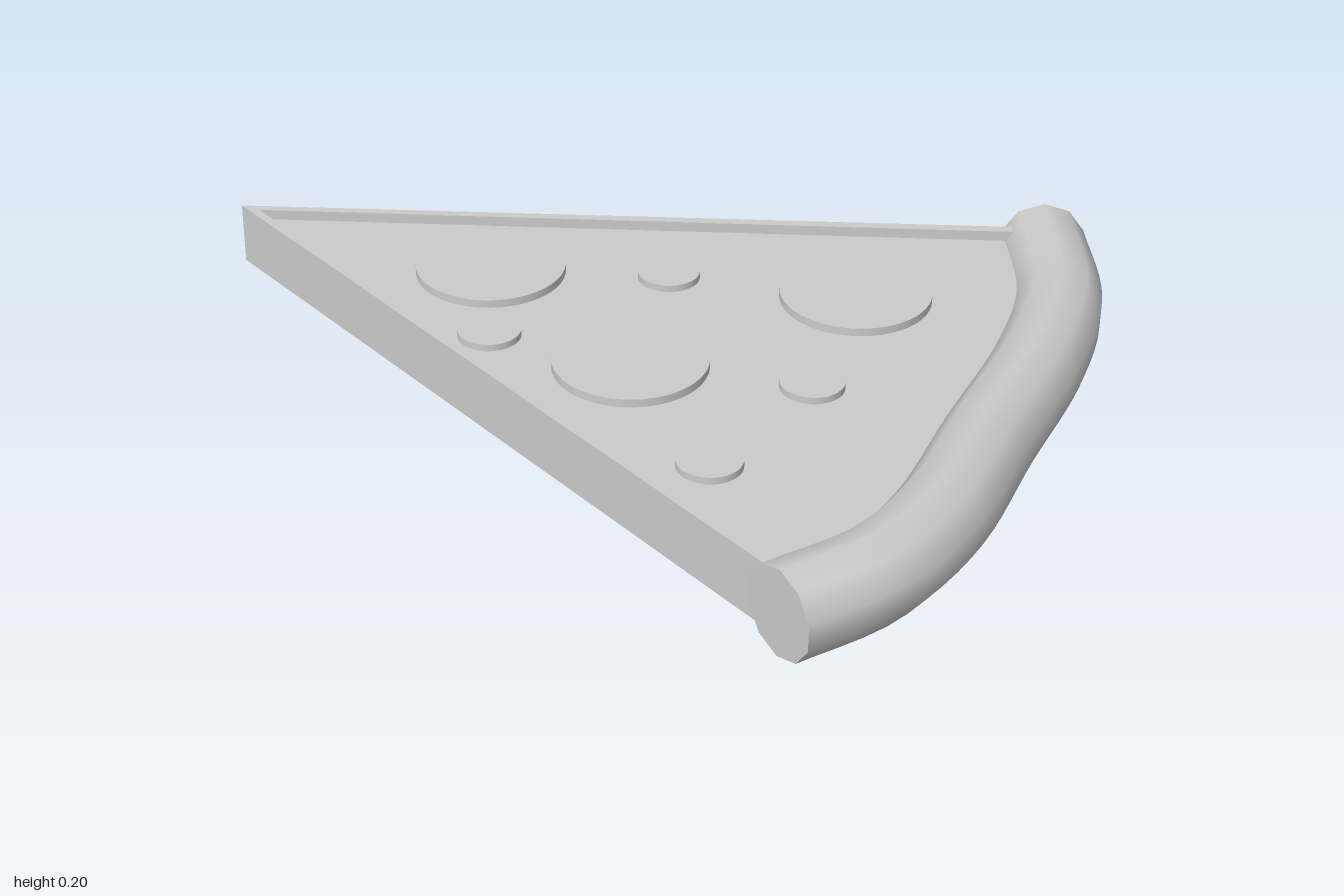
import * as THREE from 'three';

const material = new THREE.MeshStandardMaterial({ color: 0xcccccc });

const BOTTOM = 0.01, FLOOR = 0.132, RIM_TOP = 0.156;
const CRUST_RADIUS = 0.1, CRUST_SIDES = 10;

function addMesh(parent, name, geometry) {
  const mesh = new THREE.Mesh(geometry, material);
  mesh.name = name;
  parent.add(mesh);
  return mesh;
}

// Upright prism from a plan outline of [x, z] points
function prism(points, bottom, top) {
  const shape = new THREE.Shape(points.map(([x, z]) => new THREE.Vector2(x, z)));
  return new THREE.ExtrudeGeometry(shape, { depth: top - bottom, bevelEnabled: false })
    .rotateX(Math.PI / 2)
    .translate(0, top, 0);
}

export function createModel() {
  const group = new THREE.Group();
  group.name = 'pizzaSlice';

  // Wedge-shaped base, its curved back buried in the crust
  addMesh(group, 'base', prism([
    [-1, 0], [0.64, -0.74], [0.78, -0.48], [0.85, -0.25],
    [0.865, 0.08], [0.875, 0.38], [0.83, 0.58], [0.7, 0.74],
  ], BOTTOM, FLOOR));

  // Thin raised lip along the two cut edges
  addMesh(group, 'cutEdgeRim', prism([
    [-1, 0], [0.64, -0.74], [0.65, -0.718], [-0.952, 0], [0.71, 0.718], [0.7, 0.74],
  ], FLOOR, RIM_TOP));

  // Crust: ten-sided tube along the back
  const path = new THREE.CatmullRomCurve3([
    [0.69, -0.8], [0.825, -0.54], [0.874, -0.28], [0.888, 0.05],
    [0.904, 0.38], [0.866, 0.6], [0.755, 0.8],
  ].map(([x, z]) => new THREE.Vector3(x, CRUST_RADIUS, z)));
  addMesh(group, 'crust', new THREE.TubeGeometry(path, 32, CRUST_RADIUS, CRUST_SIDES));

  // Flat crust ends
  for (const end of [0, 1]) {
    const cap = addMesh(group, 'crustEnd',
      new THREE.CircleGeometry(CRUST_RADIUS, CRUST_SIDES, Math.PI / 2));
    const outward = path.getTangentAt(end).multiplyScalar(end ? 1 : -1);
    cap.position.copy(path.getPointAt(end));
    cap.rotation.y = Math.atan2(outward.x, outward.z);
  }

  // Round toppings: [x, z]
  const addToppings = (name, radius, height, places) => {
    for (const [x, z] of places) {
      const disc = addMesh(group, name, new THREE.CylinderGeometry(radius, radius, height, 48));
      disc.position.set(x, FLOOR + height / 2, z);
    }
  };
  addToppings('largeTopping', 0.17, 0.019, [[-0.35, -0.04], [0.43, -0.31], [0.12, 0.18]]);
  addToppings('smallTopping', 0.07, 0.016, [[0.02, -0.2], [-0.21, 0.21], [0.5, 0.08], [0.44, 0.45]]);

  return group;
}
